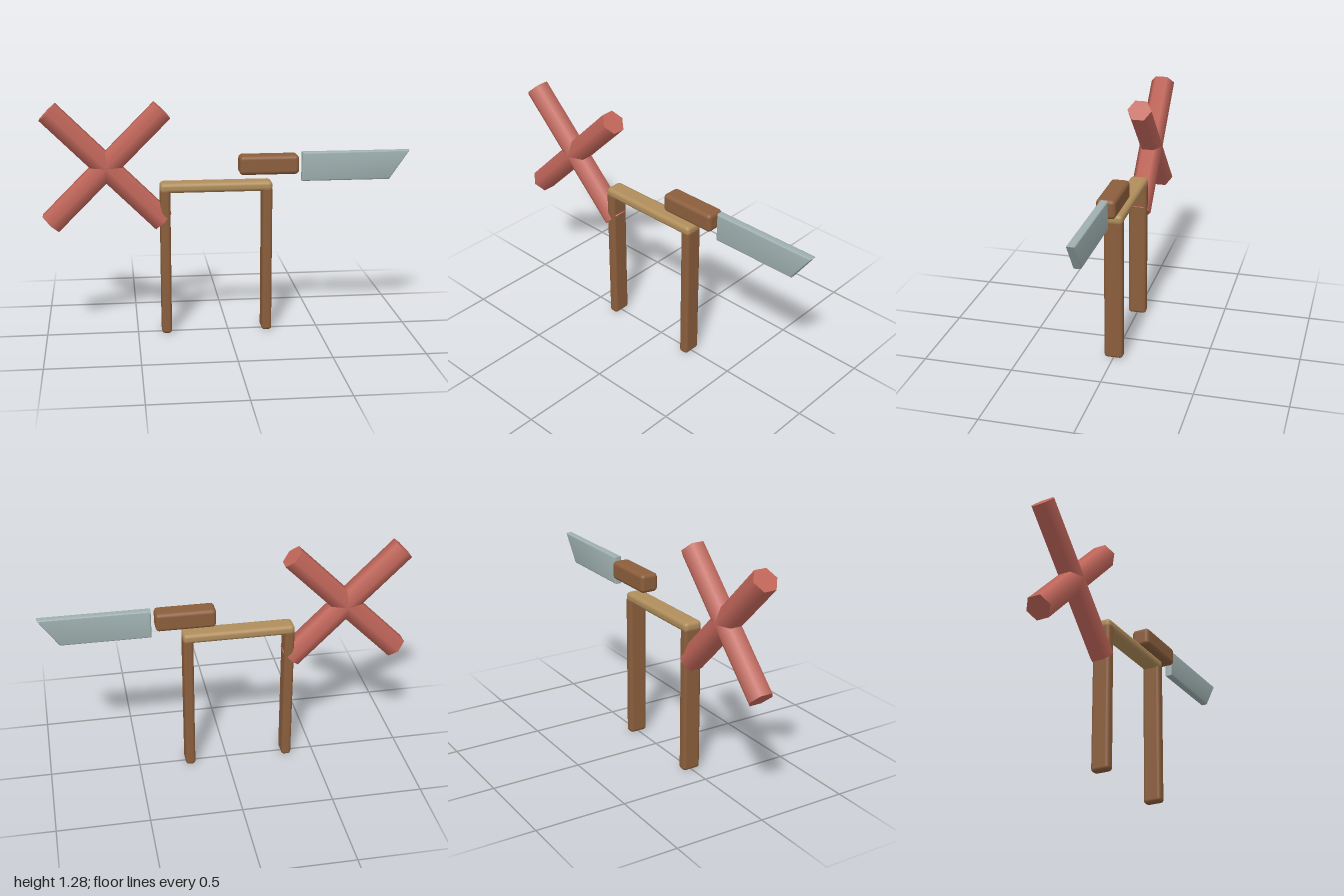
import * as THREE from 'three';
import { RoundedBoxGeometry } from 'three/addons/geometries/RoundedBoxGeometry.js';
import { toCreasedNormals } from 'three/addons/utils/BufferGeometryUtils.js';

const material = (name, color) => {
  const m = new THREE.MeshStandardMaterial({ color });
  m.name = name;
  return m;
};

export function createModel() {
  const model = new THREE.Group();
  model.name = 'tableKnifeAndCross';
  const darkWood = material('darkWood', 0x8b5e3c);
  const lightWood = material('lightWood', 0xb08d5b);
  const red = material('red', 0xc1665a);
  const steel = material('steel', 0x9fb0b0);

  const add = (name, geometry, mat, x, y, z = 0) => {
    const mesh = new THREE.Mesh(geometry, mat);
    mesh.name = name;
    mesh.position.set(x, y, z);
    model.add(mesh);
    return mesh;
  };

  // Table: two rounded posts under a top beam
  for (const [name, x] of [['rightLeg', -0.3425], ['leftLeg', 0.2125]]) {
    add(name, new RoundedBoxGeometry(0.055, 0.82, 0.104, 3, 0.018), darkWood, x, 0.41);
  }
  add('topBeam', new RoundedBoxGeometry(0.61, 0.055, 0.104, 3, 0.022), lightWood, -0.065, 0.8225);

  // Crossed six-sided rods
  for (const [name, side] of [['risingRod', -1], ['fallingRod', 1]]) {
    const rod = add(name, new THREE.CylinderGeometry(0.069, 0.069, 0.855, 6), red, -0.655, 0.94);
    rod.rotation.z = side * Math.PI / 4;
  }

  // Knife handle
  add('knifeHandle', new RoundedBoxGeometry(0.325, 0.105, 0.104, 4, 0.022), darkWood, 0.2225, 0.9375);

  // Knife blade with a slanted tip and softened edges
  const outline = new THREE.Shape([
    [0.405, 0.84], [0.89, 0.84], [1.0, 1.0], [0.405, 1.0],
  ].map(([x, y]) => new THREE.Vector2(x, y)));
  const bevel = 0.01;
  const blade = new THREE.ExtrudeGeometry(outline, {
    depth: 0.044 - 2 * bevel,
    bevelEnabled: true,
    bevelThickness: bevel,
    bevelSize: bevel,
    bevelOffset: -bevel,
    bevelSegments: 3,
  });
  blade.translate(0, 0, -0.022 + bevel);
  add('knifeBlade', toCreasedNormals(blade, 0.7), steel, 0, 0);

  return model;
}
